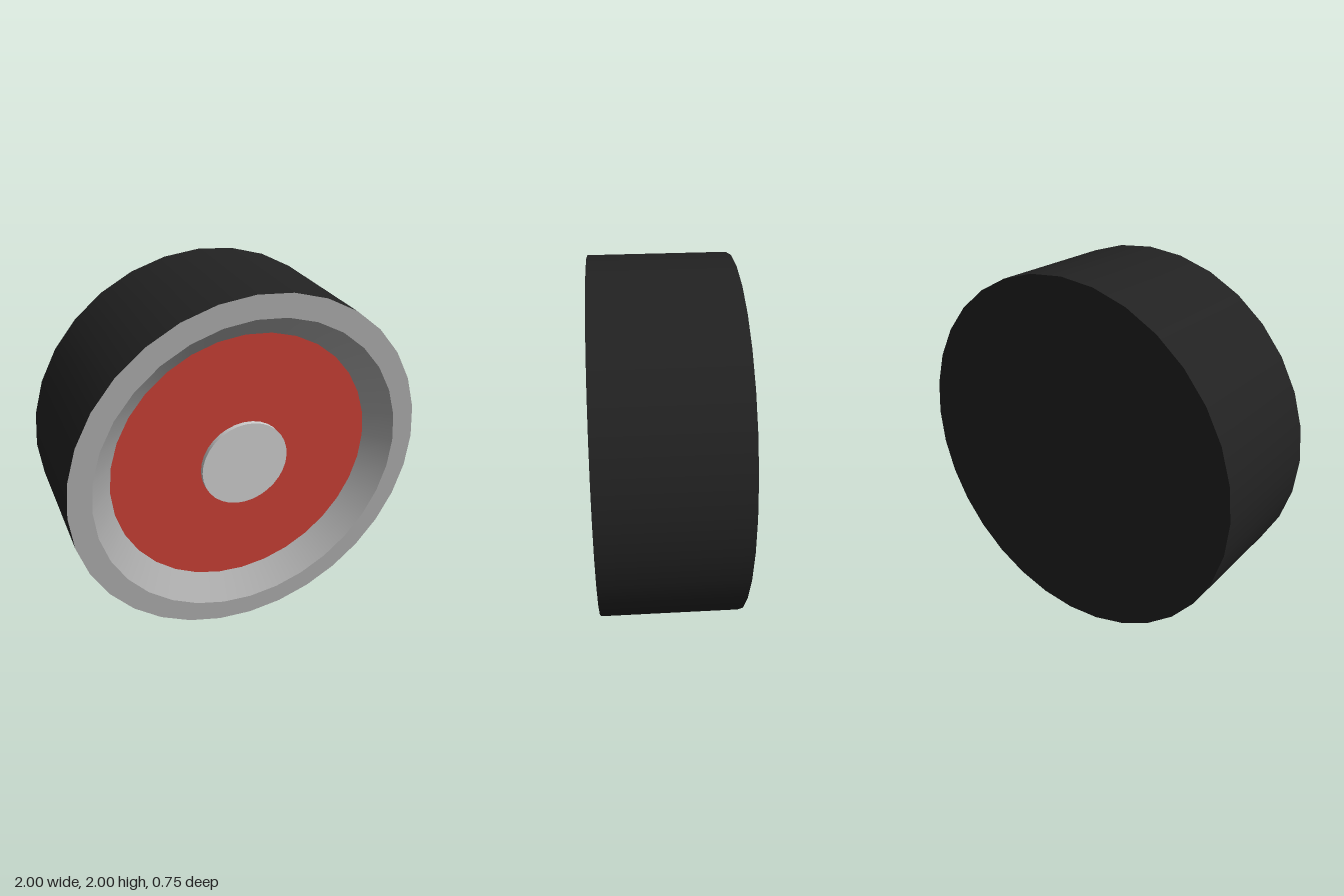
import * as THREE from 'three';
import { mergeGeometries } from 'three/addons/utils/BufferGeometryUtils.js';

const SEGMENTS = 32;

// Turned part around the z axis; each profile step [radius, z] gets its own band so edges stay sharp
function turned(name, color, profile) {
  const bands = [];
  for (let i = 0; i < profile.length - 1; i++) {
    const pts = [profile[i], profile[i + 1]].map(([r, z]) => new THREE.Vector2(r, z));
    bands.push(new THREE.LatheGeometry(pts, SEGMENTS));
  }
  const geometry = mergeGeometries(bands);
  geometry.rotateX(Math.PI / 2);
  const mesh = new THREE.Mesh(geometry, new THREE.MeshStandardMaterial({ color }));
  mesh.name = name;
  mesh.position.y = 1;
  return mesh;
}

export function createModel() {
  const group = new THREE.Group();
  group.name = 'wheel';
  group.add(
    // Closed back and tread
    turned('tire', 0x222222, [[0, -0.375], [1, -0.375], [1, 0.375]]),
    // Front ring and sloped recess wall
    turned('rim', 0xaaaaaa, [[1, 0.375], [0.875, 0.375], [0.75, 0.25]]),
    // Recessed disc
    turned('disc', 0xc63f35, [[0.75, 0.25], [0, 0.25]]),
    // Raised centre cap
    turned('hubCap', 0xcccccc, [[0.25, 0.25], [0.25, 0.275], [0, 0.275]])
  );
  return group;
}
